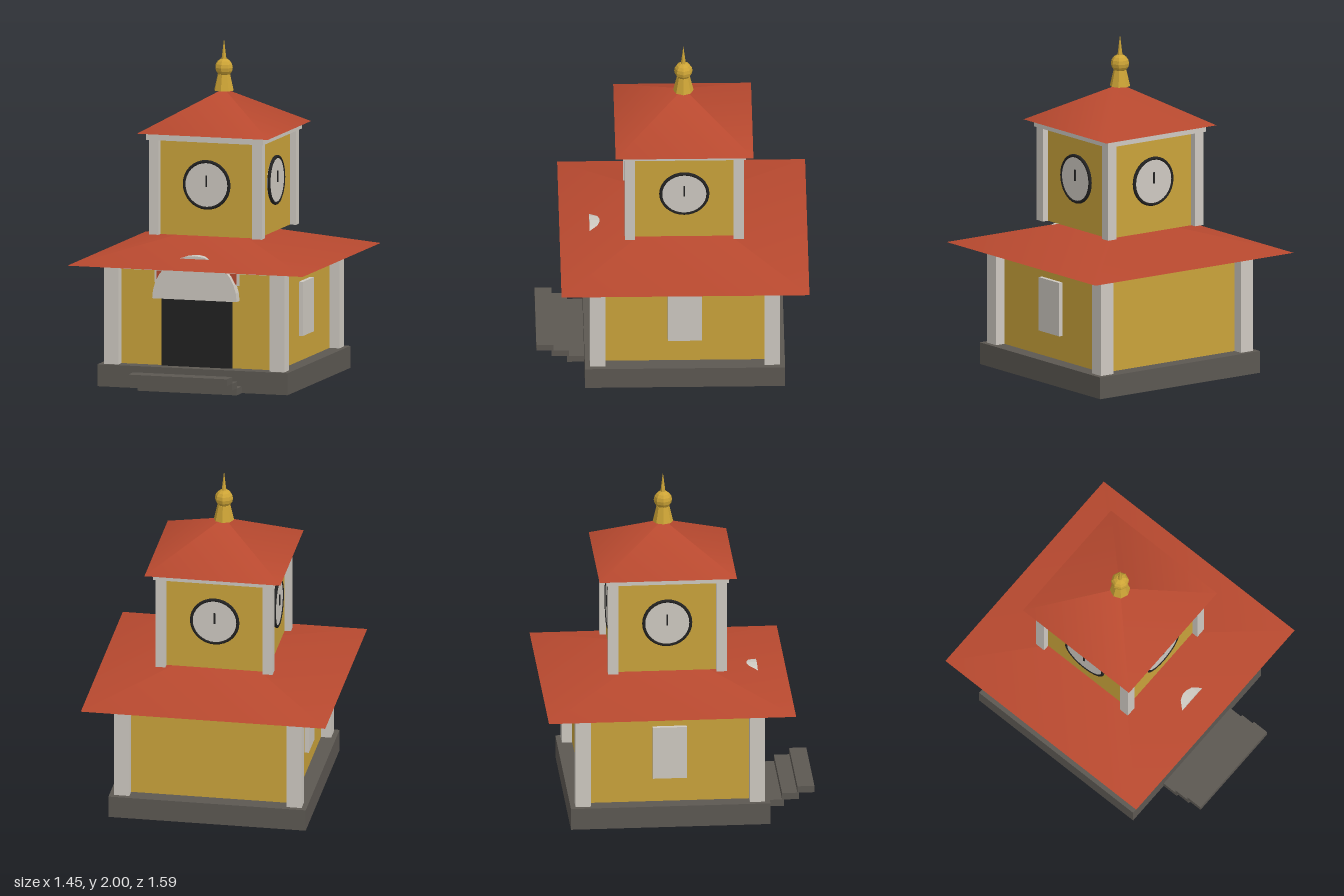
import * as THREE from 'three';

const mat = (name, color, extra = {}) => {
  const m = new THREE.MeshStandardMaterial({ color, ...extra });
  m.name = name;
  return m;
};

export function createModel() {
  const wall = mat('ochre wall', 0xcaa33b);
  const tile = mat('red tile', 0xb8492f);
  const trim = mat('pale trim', 0xcec9c1);
  const stone = mat('dark stone', 0x5c5852);
  const black = mat('black', 0x222222);
  const gold = mat('gold', 0xcda436, { flatShading: true });

  const model = new THREE.Group();
  model.name = 'clockTower';
  // The building is centred on its own axis; the steps shift it back.
  const house = new THREE.Group();
  house.name = 'house';
  house.position.z = -0.065;
  model.add(house);

  const add = (name, geo, m, x, y, z, parent = house) => {
    const mesh = new THREE.Mesh(geo, m);
    mesh.name = name;
    mesh.position.set(x, y, z);
    parent.add(mesh);
    return mesh;
  };
  // Box given by its width, depth and vertical range
  const box = (name, m, w, d, y0, y1, x = 0, z = 0, parent = house) =>
    add(name, new THREE.BoxGeometry(w, y1 - y0, d), m, x, (y0 + y1) / 2, z, parent);
  const corners = (name, at, w, y0, y1) => {
    for (const sx of [-1, 1]) for (const sz of [-1, 1])
      box(name, trim, w, w, y0, y1, sx * at, sz * at);
  };
  const hipRoof = (name, half, y0, y1) => {
    const roof = add(name, new THREE.ConeGeometry(half * Math.SQRT2, y1 - y0, 4), tile, 0, (y0 + y1) / 2, 0);
    roof.rotation.y = Math.PI / 4;
  };

  // Plinth and the three floating steps
  box('plinth', stone, 1.17, 1.17, 0, 0.13);
  for (let i = 0; i < 3; i++)
    box('step', stone, 0.61, 0.1, i * 0.04, (i + 1) * 0.04, 0, 0.635 + i * 0.09);

  // Ground floor
  box('lowerWalls', wall, 0.99, 0.99, 0.13, 0.725);
  corners('lowerPillar', 0.511, 0.09, 0.13, 0.725);
  box('lowerCornice', trim, 1.05, 1.05, 0.692, 0.725);
  for (const s of [-1, 1]) box('window', trim, 0.04, 0.2, 0.28, 0.6, s * 0.5, 0);
  hipRoof('lowerRoof', 0.725, 0.725, 0.921);

  // Doorway with a half-round hood that breaks through the roof
  box('door', black, 0.43, 0.04, 0.13, 0.54, 0, 0.495);
  box('hoodBacking', trim, 0.52, 0.02, 0.62, 0.7, 0, 0.5);
  box('hoodPanel', tile, 0.49, 0.008, 0.63, 0.692, 0, 0.512);
  const arch = new THREE.Shape();
  arch.absarc(0, 0, 0.26, 0, Math.PI, false);
  arch.closePath();
  add('doorHood', new THREE.ExtrudeGeometry(arch, { depth: 0.06, bevelEnabled: false, curveSegments: 8 }),
    trim, 0, 0.53, 0.49);

  // Clock storey
  box('towerWalls', wall, 0.62, 0.62, 0.875, 1.44);
  corners('towerPillar', 0.318, 0.06, 0.875, 1.44);
  box('towerCornice', trim, 0.72, 0.72, 1.435, 1.476);
  hipRoof('towerRoof', 0.403, 1.475, 1.705);

  // One clock on each side
  for (let i = 0; i < 4; i++) {
    const clock = new THREE.Group();
    clock.name = 'clock';
    clock.rotation.y = i * Math.PI / 2;
    house.add(clock);
    const dial = add('clockFace', new THREE.CylinderGeometry(0.135, 0.135, 0.02, 32), trim, 0, 1.18, 0.317, clock);
    dial.rotation.x = Math.PI / 2;
    add('clockRim', new THREE.TorusGeometry(0.137, 0.01, 8, 32), black, 0, 1.18, 0.322, clock);
    box('clockHand', black, 0.009, 0.008, 1.168, 1.235, 0, 0.33, clock);
  }

  // Finial
  add('finialBase', new THREE.CylinderGeometry(0.038, 0.06, 0.095, 8), gold, 0, 1.7425, 0);
  add('finialBall', new THREE.SphereGeometry(0.054, 8, 8), gold, 0, 1.83, 0);
  add('finialSpike', new THREE.ConeGeometry(0.016, 0.13, 6), gold, 0, 1.935, 0);

  return model;
}
